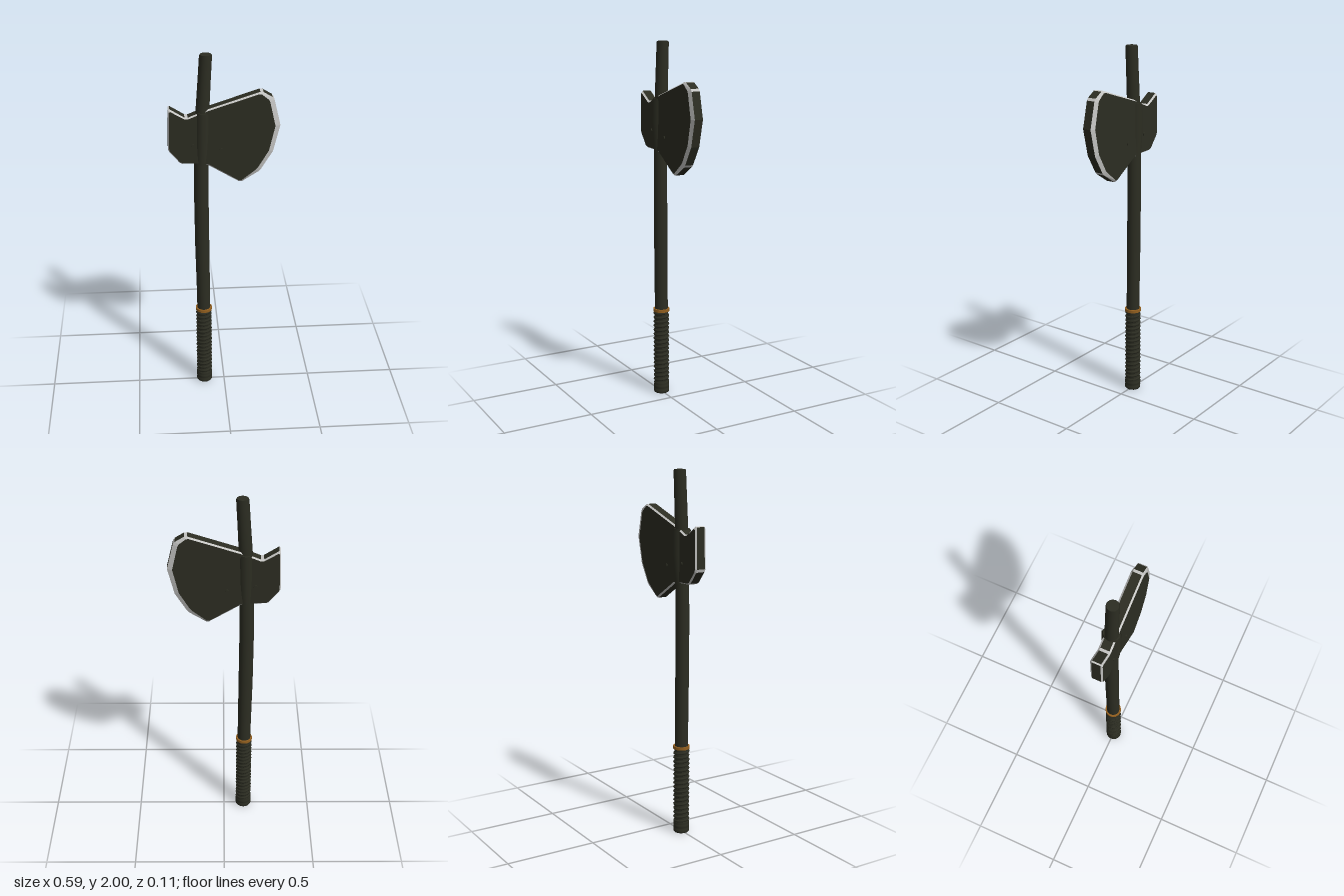
import * as THREE from 'three';

const olive = new THREE.MeshStandardMaterial({ color: 0x2c2d22 });
olive.name = 'dark olive';
const steel = new THREE.MeshStandardMaterial({ color: 0xc6c6c4 });
steel.name = 'bare steel';
const brass = new THREE.MeshStandardMaterial({ color: 0x94601f });
brass.name = 'brass';

const GRIP_X = -0.115;

function part(name, geometry, material, x = 0, y = 0, z = 0) {
  const mesh = new THREE.Mesh(geometry, material);
  mesh.name = name;
  mesh.position.set(x, y, z);
  return mesh;
}

// Capped tube through rings of [centre x, y, radius x, radius z], from top to bottom
function loft(rings, sides) {
  const n = rings.length - 1;
  const geometry = new THREE.CylinderGeometry(1, 1, 1, sides, n);
  const p = geometry.attributes.position;
  for (let i = 0; i < p.count; i++) {
    const [cx, y, rx, rz] = rings[Math.round((0.5 - p.getY(i)) * n)];
    p.setXYZ(i, cx + p.getX(i) * rx, y, p.getZ(i) * rz);
  }
  return geometry;
}

function quadGeometry(quads) {
  const geometry = new THREE.BufferGeometry();
  const points = quads.flatMap(([a, b, c, d]) => [a, b, c, a, c, d]).flat();
  geometry.setAttribute('position', new THREE.Float32BufferAttribute(points, 3));
  geometry.computeVertexNormals();
  return geometry;
}

// Axe head: dark cheeks and rim, with bare steel bevels and worn corners
function createHead() {
  // outer x, y, cheek x, y, worn corner (1 = yes), counter-clockwise from the front
  const corners = [
    [-0.15, 1.41, -0.15, 1.416, 0],
    [-0.085, 1.4, -0.083, 1.408, 0],
    [0.087, 1.295, 0.085, 1.305, 1],
    [0.19, 1.36, 0.175, 1.376, 1],
    [0.257, 1.47, 0.235, 1.478, 0],
    [0.293, 1.617, 0.266, 1.615, 0],
    [0.257, 1.767, 0.234, 1.757, 1],
    [0.194, 1.805, 0.187, 1.795, 1],
    [-0.09, 1.712, -0.09, 1.705, 0],
    [-0.198, 1.667, -0.198, 1.66, 1],
    [-0.29, 1.725, -0.285, 1.712, 1],
    [-0.295, 1.49, -0.289, 1.493, 1],
    [-0.23, 1.412, -0.227, 1.418, 1],
  ];
  const RIM_Z = 0.024, CHEEK_Z = 0.033, WEAR = 0.009;

  // Cut each worn corner into two points; worn marks the short side between them
  const loop = [];
  const toward = (a, b) => {
    const t = WEAR / Math.hypot(b[0] - a[0], b[1] - a[1]);
    return [0, 1, 2, 3].map((k) => a[k] + (b[k] - a[k]) * t);
  };
  corners.forEach((c, i) => {
    const before = corners.at(i - 1), after = corners[(i + 1) % corners.length];
    if (c[4]) loop.push({ c: toward(c, before), worn: true }, { c: toward(c, after) });
    else loop.push({ c });
  });

  const rim = [], bevel = [];
  const outer = (c, s) => [c[0], c[1], s * RIM_Z];
  const inner = (c, s) => [c[2], c[3], s * CHEEK_Z];
  loop.forEach(({ c: a, worn }, i) => {
    const b = loop[(i + 1) % loop.length].c;
    (worn ? bevel : rim).push([outer(a, -1), outer(b, -1), outer(b, 1), outer(a, 1)]);
    bevel.push([outer(a, 1), outer(b, 1), inner(b, 1), inner(a, 1)]);
    bevel.push([outer(b, -1), outer(a, -1), inner(a, -1), inner(b, -1)]);
  });

  const head = new THREE.Group();
  head.name = 'axeHead';
  head.add(part('headRim', quadGeometry(rim), olive));
  head.add(part('headBevel', quadGeometry(bevel), steel));
  const shape = new THREE.Shape(loop.map(({ c }) => new THREE.Vector2(c[2], c[3])));
  const front = new THREE.ShapeGeometry(shape);
  const back = front.clone();
  back.index.array.reverse();
  back.computeVertexNormals();
  head.add(part('frontCheek', front, olive, 0, 0, CHEEK_Z));
  head.add(part('backCheek', back, olive, 0, 0, -CHEEK_Z));

  // Bolts through the head
  for (const [x, y] of [[-0.164, 1.515], [-0.016, 1.49]]) {
    const bolt = new THREE.CylinderGeometry(0.01, 0.01, 0.078, 8).rotateX(Math.PI / 2);
    head.add(part('bolt', bolt, olive, x, y));
  }
  return head;
}

// Grip: core with a spiral wrap, end rings and a brass ferrule
function createGrip() {
  const grip = new THREE.Group();
  grip.name = 'grip';
  grip.add(part('gripCore', new THREE.CylinderGeometry(0.039, 0.039, 0.48, 16), olive, GRIP_X, 0.245));

  const TURNS = 17, STEPS = TURNS * 12;
  const points = [];
  for (let i = 0; i <= STEPS; i++) {
    const t = i / STEPS, angle = t * TURNS * Math.PI * 2;
    points.push(new THREE.Vector3(Math.cos(angle) * 0.037, 0.06 + t * 0.42, -Math.sin(angle) * 0.037));
  }
  const wrap = new THREE.TubeGeometry(new THREE.CatmullRomCurve3(points), STEPS, 0.0085, 6);
  grip.add(part('spiralWrap', wrap, olive, GRIP_X));

  const profile = [[0, 0], [0.041, 0], [0.045, 0.006], [0.045, 0.02], [0.04, 0.026],
    [0.045, 0.032], [0.045, 0.046], [0.04, 0.052], [0.045, 0.058], [0.04, 0.066]];
  const butt = new THREE.LatheGeometry(profile.map(([x, y]) => new THREE.Vector2(x, y)), 16);
  grip.add(part('gripButt', butt, olive, GRIP_X));
  grip.add(part('ferrule', new THREE.CylinderGeometry(0.046, 0.046, 0.016, 16), brass, GRIP_X, 0.494));
  return grip;
}

export function createModel() {
  const model = new THREE.Group();
  model.name = 'axe';

  // Gently curved shaft
  model.add(part('shaft', loft([
    [-0.093, 2.0, 0.03, 0.03], [-0.093, 1.994, 0.033, 0.033], [-0.102, 1.85, 0.034, 0.034],
    [-0.112, 1.69, 0.036, 0.035], [-0.119, 1.45, 0.038, 0.036], [-0.122, 1.2, 0.039, 0.037],
    [-0.12, 0.9, 0.039, 0.037], [-0.116, 0.6, 0.037, 0.037], [GRIP_X, 0.45, 0.037, 0.037],
  ], 16), olive));

  // Socket where the shaft passes through the head
  model.add(part('socket', loft([
    [-0.112, 1.694, 0.034, 0.045], [-0.112, 1.682, 0.04, 0.053], [-0.114, 1.56, 0.04, 0.053],
    [-0.116, 1.47, 0.039, 0.045], [-0.119, 1.385, 0.036, 0.035],
  ], 12), olive));

  model.add(createHead(), createGrip());
  return model;
}
